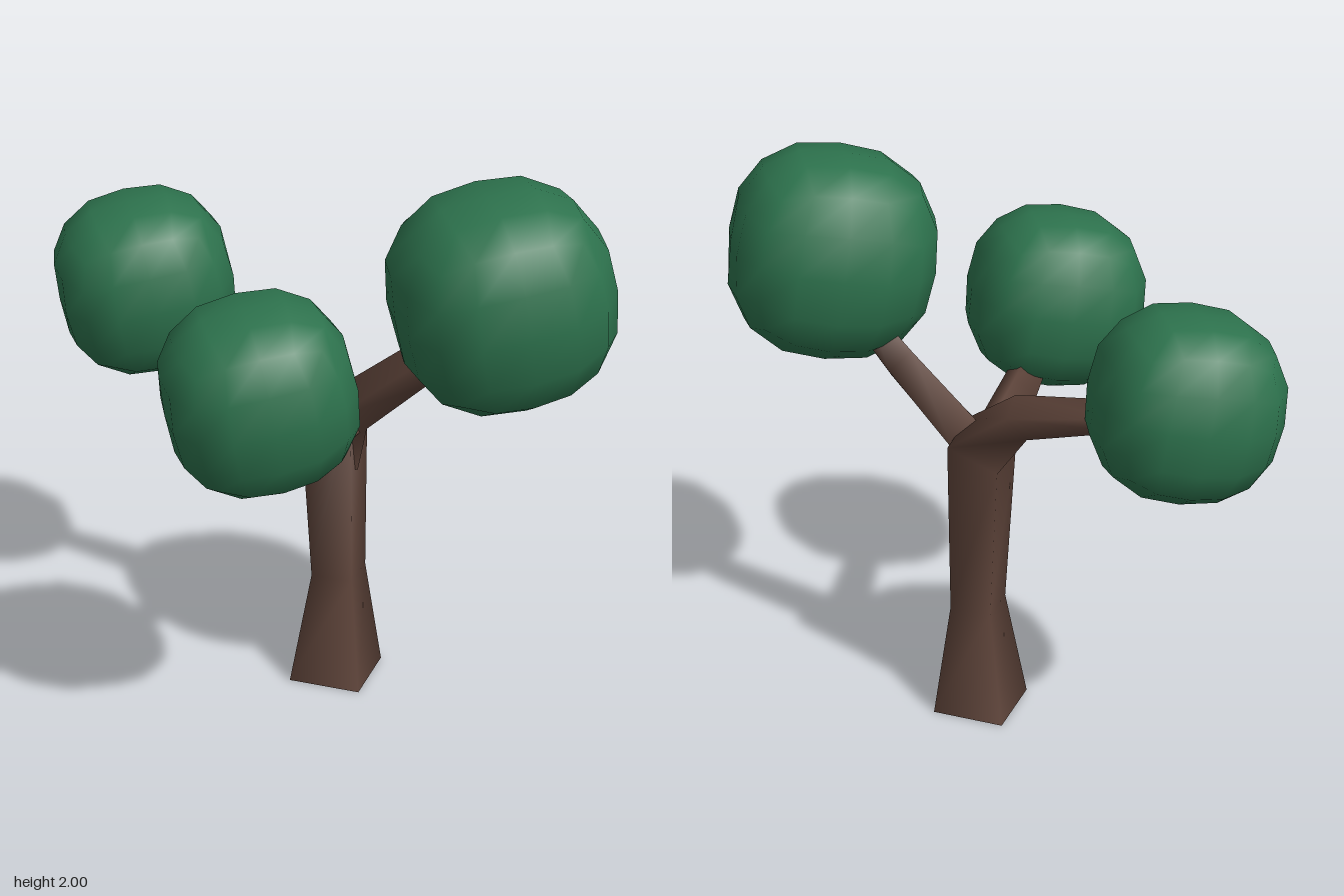
import * as THREE from 'three';
import { mergeVertices } from 'three/addons/utils/BufferGeometryUtils.js';

const bark = new THREE.MeshStandardMaterial({ color: 0x5d4339, side: THREE.DoubleSide });
bark.name = 'barkBrown';
const leaf = new THREE.MeshStandardMaterial({ color: 0x2d724d });
leaf.name = 'leafGreen';

// Smooth, open, four-sided limb; each station is [x, y, z, half diagonal]
function limb(name, stations, cornerDir) {
  const points = stations.map(([x, y, z]) => new THREE.Vector3(x, y, z));
  const dirs = points.slice(1).map((p, i) => p.clone().sub(points[i]).normalize());
  const positions = [];
  const index = [];
  points.forEach((p, i) => {
    const t = (dirs[i - 1] || dirs[0]).clone().add(dirs[i] || dirs[i - 1]).normalize();
    const u = cornerDir.clone().addScaledVector(t, -cornerDir.dot(t)).normalize();
    const v = t.clone().cross(u);
    [u, v, u.clone().negate(), v.clone().negate()].forEach((d) => {
      const c = p.clone().addScaledVector(d, stations[i][3]);
      positions.push(c.x, p.y === 0 ? 0 : c.y, c.z);
    });
  });
  for (let i = 0; i < points.length - 1; i++) {
    for (let j = 0; j < 4; j++) {
      const a = i * 4 + j;
      const b = i * 4 + ((j + 1) % 4);
      index.push(a, b, b + 4, a, b + 4, a + 4);
    }
  }
  const geometry = new THREE.BufferGeometry();
  geometry.setAttribute('position', new THREE.Float32BufferAttribute(positions, 3));
  geometry.setIndex(index);
  geometry.computeVertexNormals();
  const mesh = new THREE.Mesh(geometry, bark);
  mesh.name = name;
  return mesh;
}

// Rounded cube rule: grid class -> [outer value, half-step value]
const ROUNDING = {
  '0,0,2': [0.855, 0], '0,1,2': [0.836, 0.375], '1,1,2': [0.8, 0.36],
  '0,2,2': [0.665, 0], '1,2,2': [0.643, 0.305], '2,2,2': [0.558, 0],
};

function foliageGeometry() {
  let geometry = new THREE.BoxGeometry(4, 4, 4, 4, 4, 4);
  const pos = geometry.attributes.position;
  for (let i = 0; i < pos.count; i++) {
    const p = [pos.getX(i), pos.getY(i), pos.getZ(i)].map(Math.round);
    const [full, half] = ROUNDING[p.map(Math.abs).sort().join()];
    const q = p.map((c) => Math.sign(c) * (Math.abs(c) === 2 ? full : half));
    pos.setXYZ(i, ...q);
  }
  geometry.deleteAttribute('uv');
  geometry.deleteAttribute('normal');
  geometry = mergeVertices(geometry);
  geometry.computeVertexNormals();
  return geometry;
}

export function createModel() {
  const tree = new THREE.Group();
  tree.name = 'tree';

  // Flared trunk that bends over into the back branch
  tree.add(limb('trunkAndBackBranch', [
    [0.045, 0, -0.008, 0.187],
    [0.052, 0.42, 0, 0.108],
    [0.045, 1.06, -0.035, 0.138],
    [-0.06, 1.22, -0.17, 0.08],
    [-0.34, 1.32, -0.45, 0.055],
  ], new THREE.Vector3(1, 0, -0.17)));

  // Side branches, rooted inside the trunk
  tree.add(limb('leftBranch', [
    [0.05, 0.86, -0.01, 0.09],
    [0.075, 1.06, 0.03, 0.095],
    [0.27, 1.29, 0.22, 0.075],
    [0.4, 1.46, 0.37, 0.06],
  ], new THREE.Vector3(1, 0, -0.8)));
  tree.add(limb('rightBranch', [
    [0.04, 1.0, 0.04, 0.085],
    [-0.04, 1.02, 0.115, 0.085],
    [-0.16, 1.12, 0.25, 0.075],
    [-0.27, 1.22, 0.38, 0.06],
  ], new THREE.Vector3(1, 0, 0.6)));

  // Foliage clumps
  const clump = foliageGeometry();
  [
    ['leftFoliage', 0.455, 1.627, 0.5, 0.42],
    ['rightFoliage', -0.365, 1.375, 0.49, 0.364],
    ['backFoliage', -0.513, 1.395, -0.555, 0.364],
  ].forEach(([name, x, y, z, size]) => {
    const mesh = new THREE.Mesh(clump, leaf);
    mesh.name = name;
    mesh.position.set(x, y, z);
    mesh.rotation.set(0.05, -0.07, 0.17);
    mesh.scale.setScalar(size);
    tree.add(mesh);
  });
  return tree;
}
